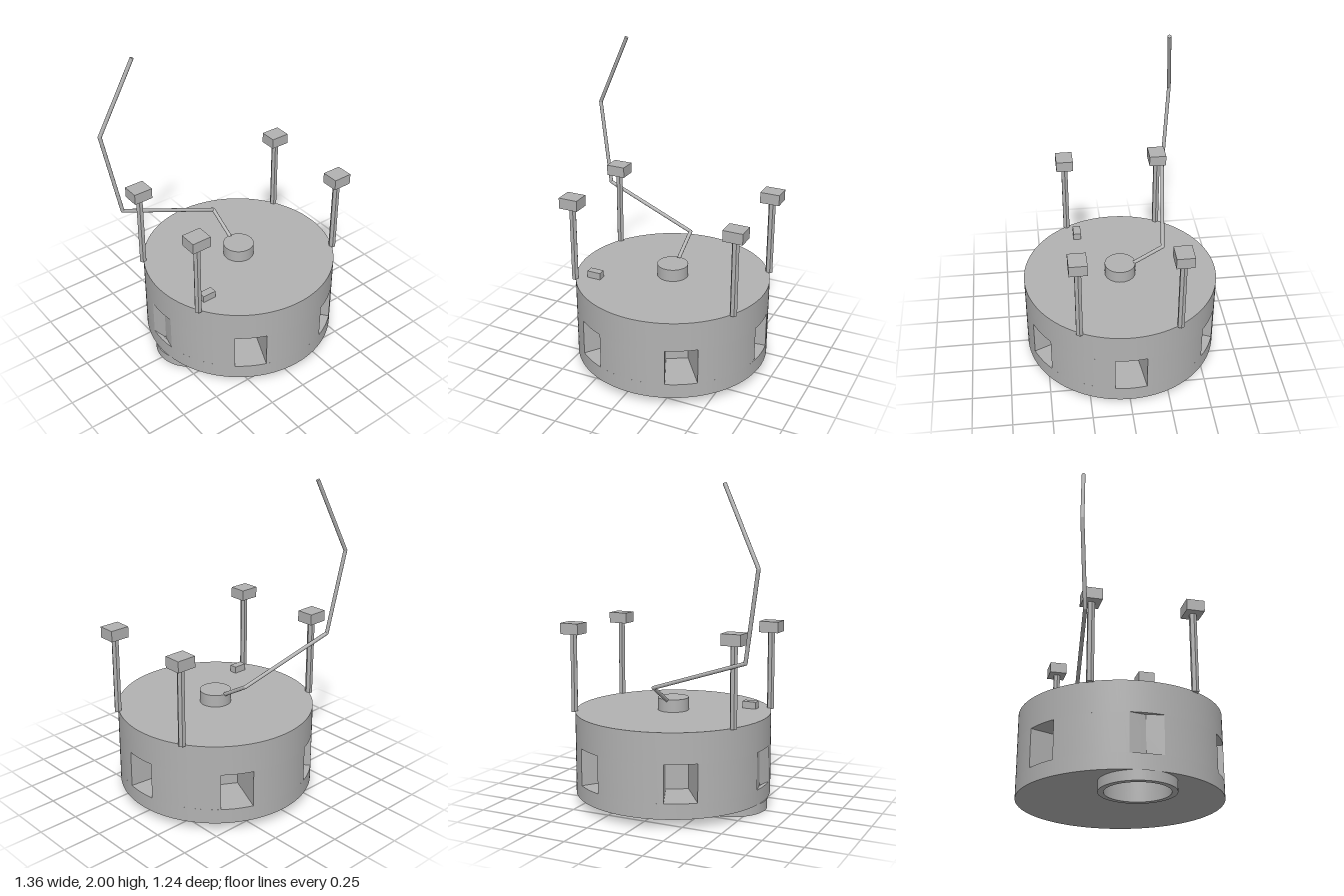
import * as THREE from 'three';
import { toCreasedNormals } from 'three/addons/utils/BufferGeometryUtils.js';

const CX = 0.053;            // drum axis
const R = 0.622;             // drum radius
const BORE_X = -0.406;       // bore centre, from the drum axis
const BORE_R = 0.19;

export function createModel() {
  const group = new THREE.Group();
  const grey = new THREE.MeshStandardMaterial({ color: 0xb2b2b2 });
  grey.name = 'grey';

  const add = (name, geometry, x = 0, y = 0, z = 0) => {
    const mesh = new THREE.Mesh(geometry, grey);
    mesh.name = name;
    mesh.position.set(x, y, z);
    group.add(mesh);
    return mesh;
  };

  // Horizontal slab extruded upwards from a plan outline
  const slab = (shape, height) => {
    const g = new THREE.ExtrudeGeometry(shape, { depth: height, bevelEnabled: false, curveSegments: 96 });
    return toCreasedNormals(g.rotateX(-Math.PI / 2), 0.4);
  };
  const disc = (radius, holeX, holeR) => {
    const s = new THREE.Shape().absarc(0, 0, radius, 0, Math.PI * 2);
    if (holeR) s.holes.push(new THREE.Path().absarc(holeX, 0, holeR, 0, Math.PI * 2, true));
    return s;
  };

  // Plan of the middle storey: six window recesses, one of them opening into the bore
  const points = [];
  const mouth = Math.asin(0.1 / R);
  const polar = (r, a, cx = 0) => points.push(new THREE.Vector2(cx + r * Math.cos(a), r * Math.sin(a)));
  for (let i = 0; i < 6; i++) {
    const a = i * Math.PI / 3;
    polar(R, a - mouth);
    if (i === 3) {
      const start = 0.53;
      for (let k = 0; k <= 48; k++) {
        polar(BORE_R, Math.PI - start * -1 - (-k / 48) * (Math.PI * 2 - 2 * start), BORE_X);
      }
    } else {
      const half = Math.atan2(0.07, 0.33), r = Math.hypot(0.07, 0.33);
      polar(r, a - half);
      polar(r, a + half);
    }
    const span = Math.PI / 3 - 2 * mouth;
    for (let k = 0; k < 14; k++) polar(R, a + mouth + span * k / 14);
  }

  // Drum
  add('drumBase', slab(disc(R, BORE_X, BORE_R), 0.095), CX, 0.06);
  add('drumWindows', slab(new THREE.Shape(points), 0.235), CX, 0.155);
  add('drumTop', slab(disc(R), 0.19), CX, 0.39);

  // Ring under the bore and hub on the roof
  add('bottomRing', slab(disc(0.224, 0, BORE_R), 0.06), CX + BORE_X, 0);
  add('hub', new THREE.CylinderGeometry(0.099, 0.099, 0.08, 48), CX, 0.62);

  // Small roof box
  add('roofBox', new THREE.BoxGeometry(0.09, 0.045, 0.05), -0.377, 0.6025, 0.246);

  // Four hexagonal posts with block caps
  for (const x of [-0.49, 0.597]) {
    for (const z of [-0.309, 0.309]) {
      const post = new THREE.CylinderGeometry(0.023, 0.023, 0.5, 6).rotateY(Math.PI / 2).toNonIndexed();
      post.computeVertexNormals();
      add('post', post, x, 0.825, z);
      add('postCap', new THREE.BoxGeometry(0.125, 0.07, 0.11), x, 1.108, z);
    }
  }

  // Jointed arm
  const path = [
    [CX, 0.655, -0.09], [CX, 0.768, -0.275], [-0.583, 0.98, -0.363],
    [-0.673, 1.525, -0.408], [-0.446, 1.995, -0.361],
  ].map((p) => new THREE.Vector3(...p));
  const up = new THREE.Vector3(0, 1, 0);
  for (let i = 0; i < path.length - 1; i++) {
    const dir = path[i + 1].clone().sub(path[i]);
    const mid = path[i].clone().add(path[i + 1]).multiplyScalar(0.5);
    const rod = add('armRod', new THREE.CylinderGeometry(0.012, 0.012, dir.length(), 16), mid.x, mid.y, mid.z);
    rod.quaternion.setFromUnitVectors(up, dir.normalize());
    if (i > 0) add('armJoint', new THREE.SphereGeometry(0.012, 16, 10), path[i].x, path[i].y, path[i].z);
  }

  return group;
}
